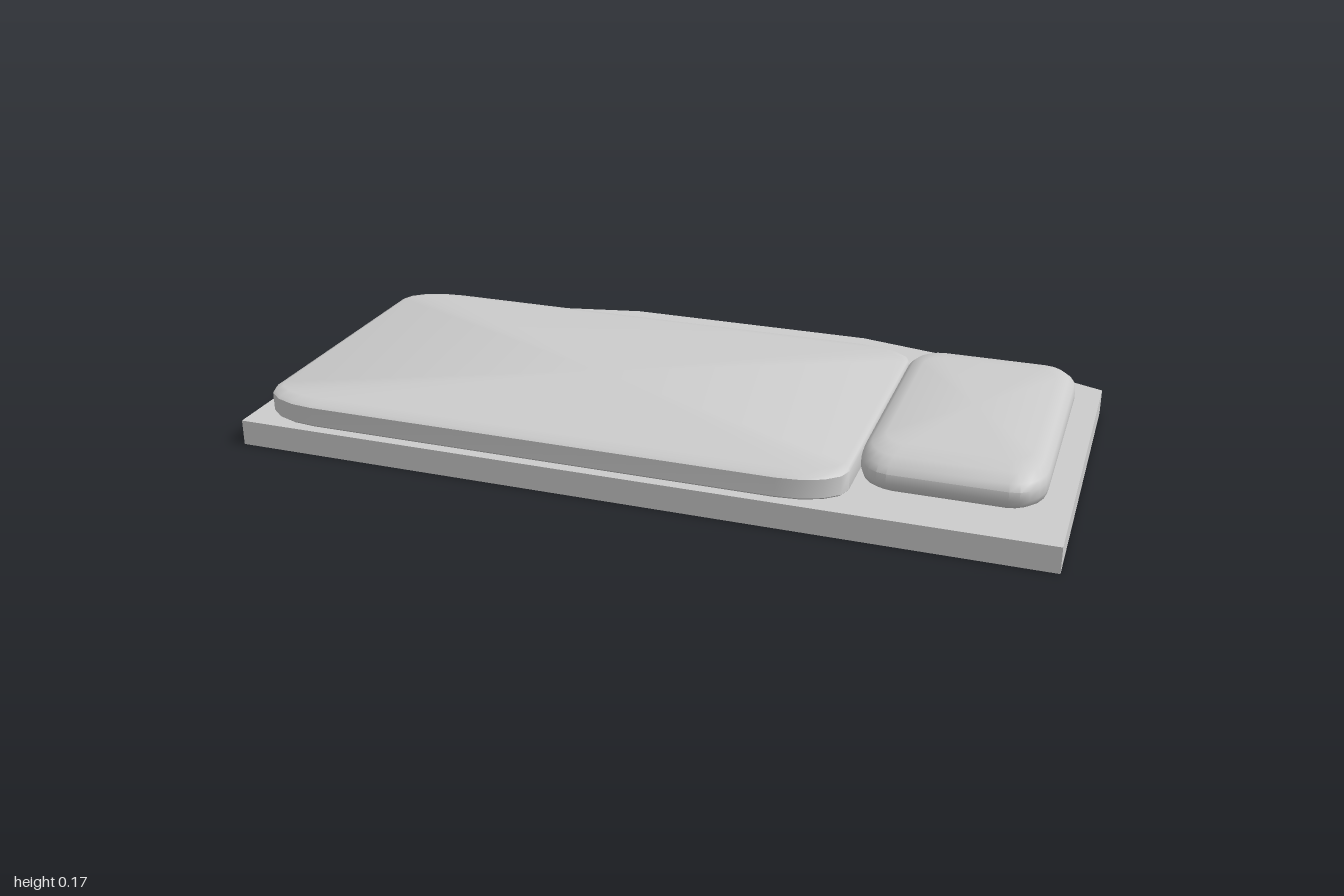
import * as THREE from 'three';
import { toCreasedNormals } from 'three/addons/utils/BufferGeometryUtils.js';

// Closed cushion lofted from rounded rectangles; each ring is [x inset, z inset, y]
function cushion(halfX, halfZ, radiusX, radiusZ, rings, steps) {
  const positions = [], index = [];
  const corners = [[1, 1], [-1, 1], [-1, -1], [1, -1]];
  const count = 4 * (steps + 1);
  for (const [insetX, insetZ, y] of rings) {
    const rx = Math.max(radiusX - insetX * 0.5, 0.01);
    const rz = Math.max(radiusZ - insetZ * 0.5, 0.01);
    corners.forEach(([sx, sz], c) => {
      for (let i = 0; i <= steps; i++) {
        const a = (c + i / steps) * Math.PI / 2;
        positions.push(
          sx * (halfX - insetX - rx) + rx * Math.cos(a), y,
          sz * (halfZ - insetZ - rz) + rz * Math.sin(a));
      }
    });
  }
  for (let r = 0; r < rings.length - 1; r++) {
    for (let i = 0; i < count; i++) {
      const a = r * count + i, b = r * count + (i + 1) % count;
      index.push(a, a + count, b, b, a + count, b + count);
    }
  }
  // Flat bottom and top
  const last = (rings.length - 1) * count;
  const bottom = positions.length / 3;
  positions.push(0, rings[0][2], 0, 0, rings[rings.length - 1][2], 0);
  for (let i = 0; i < count; i++) {
    const j = (i + 1) % count;
    index.push(bottom, i, j, bottom + 1, last + j, last + i);
  }
  const geometry = new THREE.BufferGeometry();
  geometry.setAttribute('position', new THREE.Float32BufferAttribute(positions, 3));
  geometry.setIndex(index);
  return toCreasedNormals(geometry, 0.7);
}

export function createModel() {
  const model = new THREE.Group();
  model.name = 'paddedBoard';
  const grey = new THREE.MeshStandardMaterial({ color: 0xcccccc });
  grey.name = 'light grey';

  const add = (name, geometry, x = 0, z = 0) => {
    const mesh = new THREE.Mesh(geometry, grey);
    mesh.name = name;
    mesh.position.set(x, 0, z);
    model.add(mesh);
  };

  // Base board with a faceted back edge (shape y becomes -z)
  const outline = [[-1, -0.517], [1, -0.517], [1, 0.356], [0.89, 0.4],
    [0.335, 0.517], [-0.335, 0.517], [-0.89, 0.4], [-1, 0.356]];
  const board = new THREE.ExtrudeGeometry(
    new THREE.Shape(outline.map(([x, y]) => new THREE.Vector2(x, y))),
    { depth: 0.064, bevelEnabled: false });
  board.rotateX(-Math.PI / 2);
  add('baseBoard', board);

  // Wide thin pad
  add('largePad', cushion(0.737, 0.417, 0.15, 0.085, [
    [0.015, 0.02, 0.064], [0.004, 0.005, 0.067], [0, 0, 0.072],
    [0, 0, 0.118], [0.004, 0.008, 0.124], [0.016, 0.035, 0.129],
  ], 4), -0.223, 0.083);

  // Smaller, thicker cushion beside it
  add('smallCushion', cushion(0.21, 0.353, 0.075, 0.1, [
    [0.045, 0.085, 0.071], [0.018, 0.035, 0.077], [0.004, 0.012, 0.092], [0, 0, 0.11],
    [0, 0, 0.133], [0.004, 0.012, 0.148], [0.018, 0.035, 0.164], [0.045, 0.085, 0.172],
  ], 5), 0.735, 0.083);

  return model;
}
